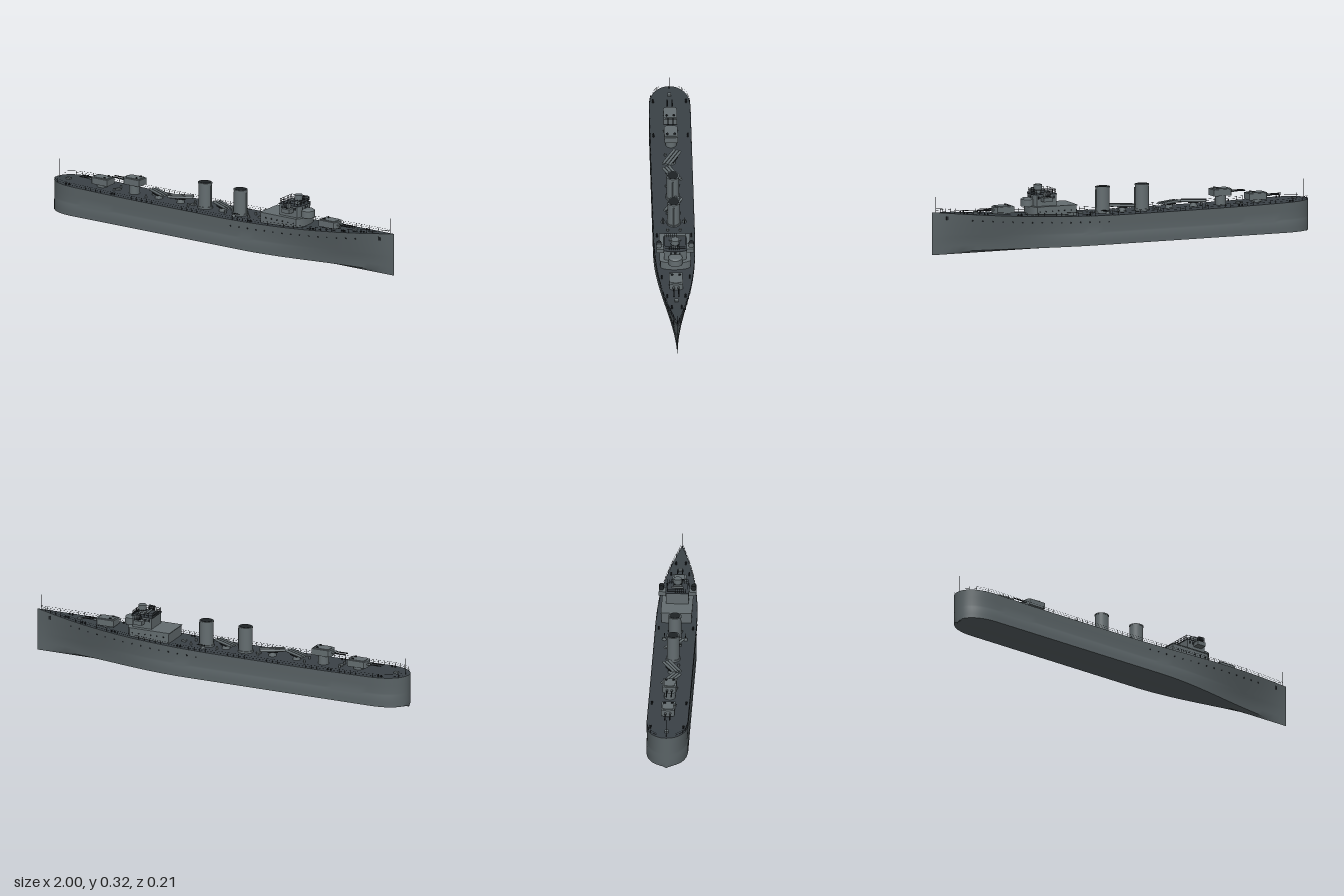
import * as THREE from 'three';
import { mergeGeometries, toCreasedNormals } from 'three/addons/utils/BufferGeometryUtils.js';

const paint = (name, color) => Object.assign(new THREE.MeshStandardMaterial({ color }), { name });
const lerp = THREE.MathUtils.lerp;

// Deck plan, waterline plan and sheer along the length (bow at +x)
const curveAt = (xs, ys, x) => {
  let i = 0;
  while (i < xs.length - 2 && x > xs[i + 1]) i++;
  return lerp(ys[i], ys[i + 1], THREE.MathUtils.clamp((x - xs[i]) / (xs[i + 1] - xs[i]), 0, 1));
};
const sternHalf = (x) => 0.102 * Math.sqrt(Math.max(0, 1 - Math.pow((-0.82 - x) / 0.18, 2.5)));
const deckHalf = (x) => (x < -0.82 ? sternHalf(x)
  : curveAt([0.2, 0.3, 0.4, 0.5, 0.6, 0.7, 0.8, 0.9, 1], [0.102, 0.101, 0.098, 0.092, 0.082, 0.068, 0.049, 0.026, 0], x));
const keelHalf = (x) => (x < -0.82 ? sternHalf(x)
  : x < 0.15 ? 0.102 : 0.051 * (1 + Math.cos((Math.PI * (x - 0.15)) / 0.85)));
const deckY = (x) => 0.155 + (x < -0.3 ? 0.009 * ((x + 0.3) / 0.7) ** 2 : 0.057 * (Math.max(0, x) ** 1.7));

// Skin a list of cross-sections
function loft(rings) {
  const n = rings[0].length, pos = rings.flat(2), idx = [];
  for (let j = 0; j < rings.length - 1; j++) {
    for (let i = 0; i < n - 1; i++) {
      const a = j * n + i, b = a + 1, d = a + n, c = d + 1;
      idx.push(a, b, d, b, c, d);
    }
  }
  const g = new THREE.BufferGeometry();
  g.setAttribute('position', new THREE.Float32BufferAttribute(pos, 3));
  g.setIndex(idx);
  return toCreasedNormals(g, 0.6);
}

// Flat outline in x/z raised upward; front end bowed outward
function house(x0, x1, half, height, bulge) {
  const s = new THREE.Shape();
  s.moveTo(x0, -half);
  s.lineTo(x1, -half);
  s.bezierCurveTo(x1 + bulge, -half * 0.75, x1 + bulge, half * 0.75, x1, half);
  s.lineTo(x0, half);
  const g = new THREE.ExtrudeGeometry(s, { depth: height, bevelEnabled: false, curveSegments: 12 });
  return toCreasedNormals(g.rotateX(-Math.PI / 2), 0.6);
}

export function createModel() {
  const ship = new THREE.Group();
  ship.name = 'warship';
  const hullGrey = paint('hullGrey', 0x5a6366);
  const deckGrey = paint('deckGrey', 0x3a4146);
  const upperGrey = paint('upperGrey', 0x646d70);
  const dark = paint('darkFittings', 0x1e2225);

  const add = (parent, name, geo, mat, x = 0, y = 0, z = 0) => {
    const m = new THREE.Mesh(geo, mat);
    m.name = name;
    m.position.set(x, y, z);
    parent.add(m);
    return m;
  };
  const group = (name, x = 0, y = 0, z = 0) => {
    const g = new THREE.Group();
    g.name = name;
    g.position.set(x, y, z);
    ship.add(g);
    return g;
  };
  const box = (w, h, d) => new THREE.BoxGeometry(w, h, d);
  const cyl = (r, h, r2 = r, n = 20) => new THREE.CylinderGeometry(r2, r, h, n);
  const rodX = (r, l, n = 10) => cyl(r, l, r, n).rotateZ(-Math.PI / 2);

  // Hull: stations packed closely at the rounded stern
  const stations = [];
  for (let i = 0; i < 14; i++) stations.push(-0.82 - 0.18 * Math.cos((i / 14) * Math.PI / 2));
  for (let i = 0; i <= 48; i++) stations.push(-0.82 + (1.82 * i) / 48);
  // [height fraction, blend from waterline to deck plan, fullness]
  const levels = [[1, 1, 1], [0.72, 0.72, 0.985], [0.46, 0.42, 0.968], [0.4, 0.35, 0.975], [0.34, 0.25, 1], [0.15, 0.08, 1], [0, 0, 1]];
  const section = (x) => {
    const side = levels.map(([f, t, k]) => [x, lerp(0.012, deckY(x), f), lerp(keelHalf(x), deckHalf(x), t) * k]);
    return [...side, [x, 0, 0], ...side.slice().reverse().map(([a, y, z]) => [a, y, -z])];
  };
  add(ship, 'hull', loft(stations.map(section)), hullGrey);
  add(ship, 'deck', loft(stations.map((x) => [-1, 0, 1].map((s) => [x, deckY(x), s * deckHalf(x)]))), deckGrey);

  // Railings along both deck edges
  const rails = [];
  for (const s of [1, -1]) {
    for (const h of [0.009, 0.018]) {
      const pts = [];
      for (let i = 0; i <= 60; i++) {
        const x = -0.985 + (1.965 * i) / 60;
        pts.push(new THREE.Vector3(x, deckY(x) + h, s * Math.max(0.001, deckHalf(x) - 0.002)));
      }
      rails.push(new THREE.TubeGeometry(new THREE.CatmullRomCurve3(pts), 120, 0.0005, 4));
    }
    for (let x = -0.97; x < 0.98; x += 0.03) {
      rails.push(cyl(0.0007, 0.018, 0.0007, 4).translate(x, deckY(x) + 0.009, s * (deckHalf(x) - 0.002)));
    }
  }
  add(ship, 'deckRailings', mergeGeometries(rails), dark);

  // Portholes and anchors
  const sideZ = (x, y) => section(x)[0][2] - (section(x)[0][2] - section(x)[1][2]) * (deckY(x) - y) / (deckY(x) - section(x)[1][1]);
  for (const s of [1, -1]) {
    for (let x = 0.1; x < 0.82; x += 0.05) {
      const y = deckY(x) - 0.031;
      add(ship, 'porthole', cyl(0.004, 0.004, 0.004, 10).rotateX(Math.PI / 2), dark, x, y, s * sideZ(x, y));
    }
    const ay = deckY(0.925) - 0.025;
    add(ship, 'anchor', box(0.012, 0.018, 0.006), dark, 0.925, ay, s * sideZ(0.925, ay));
  }

  // Flagstaffs at both ends
  add(ship, 'sternStaff', cyl(0.0014, 0.092, 0.001, 6), dark, -0.983, 0.21);
  add(ship, 'bowStaff', cyl(0.0014, 0.076, 0.001, 6), dark, 0.98, 0.248);

  // Gun turrets
  function turret(name, x, baseY, y, dir) {
    const g = group(name, x, 0, 0);
    add(g, 'barbette', cyl(0.027, y - baseY + 0.002, 0.027), upperGrey, 0, (y + baseY) / 2);
    add(g, 'gunhouse', house(-0.05, 0.04, 0.033, 0.032, 0.015), upperGrey, 0, y, 0);
    add(g, 'gunhouseRoof', house(-0.042, 0.032, 0.027, 0.004, 0.01), upperGrey, 0, y + 0.032, 0);
    for (const z of [-0.012, 0.012]) {
      add(g, 'barrel', rodX(0.003, 0.08), dark, 0.085, y + 0.018, z);
      add(g, 'barrelSleeve', rodX(0.005, 0.02), upperGrey, 0.056, y + 0.018, z);
      add(g, 'hatch', cyl(0.006, 0.005, 0.006, 10), dark, -0.025, y + 0.038, z * 1.5);
    }
    if (dir < 0) g.rotation.y = Math.PI;
  }
  turret('bowTurret', 0.625, 0.178, 0.187, 1);
  turret('raisedAftTurret', -0.54, 0.155, 0.203, -1);
  turret('aftTurret', -0.73, 0.157, 0.172, -1);

  // Funnels
  for (const x of [-0.12, 0.09]) {
    const f = group('funnel', x, 0.155, 0);
    add(f, 'casing', cyl(0.035, 0.126, 0.034, 32), upperGrey, 0, 0.063);
    add(f, 'baseRing', cyl(0.039, 0.01, 0.039, 32), upperGrey, 0, 0.005);
    add(f, 'cap', cyl(0.036, 0.006, 0.036, 32), upperGrey, 0, 0.127);
    add(f, 'opening', cyl(0.03, 0.002, 0.03, 32), dark, 0, 0.1305);
    add(f, 'steamPipe', cyl(0.004, 0.115, 0.004, 8), upperGrey, 0.037, 0.058);
    f.scale.z = 0.9;
  }

  // Triple torpedo tubes, trained off the centreline
  for (const [x, a] of [[-0.395, -0.48], [-0.265, 0.48], [-0.015, -0.48]]) {
    const t = group('torpedoMount', x, 0.155, 0);
    t.rotation.y = a;
    add(t, 'pedestal', cyl(0.02, 0.022, 0.016), upperGrey, 0, 0.011);
    add(t, 'cradle', box(0.05, 0.005, 0.045), dark, 0, 0.023);
    for (const z of [-0.016, 0, 0.016]) add(t, 'tube', rodX(0.0065, 0.125, 12), upperGrey, 0, 0.031, z);
  }

  // Bridge superstructure
  const b = group('bridge');
  add(b, 'deckhouse', house(0.26, 0.47, 0.073, 0.056, 0.03), upperGrey, 0, 0.158);
  add(b, 'deckhouseEaves', house(0.256, 0.472, 0.076, 0.004, 0.03), upperGrey, 0, 0.211);
  add(b, 'conningTower', cyl(0.035, 0.034, 0.034, 28), upperGrey, 0.49, 0.23);
  add(b, 'conningRoof', cyl(0.034, 0.006, 0.025, 28), upperGrey, 0.49, 0.25);
  add(b, 'wheelhouse', house(0.36, 0.463, 0.055, 0.055, 0.016), upperGrey, 0, 0.214);
  add(b, 'wheelhouseRoof', house(0.357, 0.466, 0.058, 0.004, 0.018), deckGrey, 0, 0.269);
  for (let i = -2; i <= 2; i++) {
    add(b, 'frontWindow', box(0.006, 0.013, 0.014), dark, 0.473 - 0.0018 * i * i, 0.257, i * 0.0185);
  }
  for (const s of [1, -1]) {
    for (let i = 0; i < 5; i++) {
      add(b, 'sideWindow', box(0.013, 0.013, 0.002), dark, 0.375 + i * 0.019, 0.257, s * 0.0555);
    }
    for (let i = 0; i < 6; i++) {
      add(b, 'housePorthole', cyl(0.004, 0.003, 0.004, 10).rotateX(Math.PI / 2), dark, 0.29 + i * 0.033, 0.19, s * 0.073);
    }
    // Bridge wing with searchlight
    add(b, 'wing', box(0.045, 0.021, 0.037), upperGrey, 0.42, 0.25, s * 0.073);
    add(b, 'lightStand', cyl(0.004, 0.01, 0.004, 8), dark, 0.42, 0.264, s * 0.079);
    add(b, 'searchlight', rodX(0.0125, 0.024, 18), dark, 0.42, 0.276, s * 0.079);
    add(b, 'searchlightRim', rodX(0.0135, 0.005, 18), upperGrey, 0.433, 0.276, s * 0.079);
  }
  add(b, 'director', cyl(0.02, 0.044, 0.02, 24), upperGrey, 0.435, 0.294);
  add(b, 'directorBand', cyl(0.0215, 0.005, 0.0215, 24), dark, 0.435, 0.29);
  add(b, 'rangefinder', rodX(0.005, 0.06).rotateY(Math.PI / 2), upperGrey, 0.4, 0.285);
  add(b, 'signalMast', cyl(0.002, 0.04, 0.0015, 6), dark, 0.465, 0.277);
  // Railing round the wheelhouse roof
  const topRail = [];
  for (const h of [0.283, 0.294]) {
    for (const s of [1, -1]) topRail.push(box(0.105, 0.0015, 0.0015).translate(0.412, h, s * 0.05));
    for (const x of [0.36, 0.465]) topRail.push(box(0.0015, 0.0015, 0.1).translate(x, h, 0));
  }
  for (let i = 0; i <= 5; i++) {
    for (const s of [1, -1]) {
      topRail.push(box(0.0015, 0.022, 0.0015).translate(0.36 + i * 0.021, 0.284, s * 0.05));
      for (const x of [0.36, 0.465]) topRail.push(box(0.0015, 0.022, 0.0015).translate(x, 0.284, s * i * 0.01));
    }
  }
  add(b, 'bridgeRailing', mergeGeometries(topRail), dark);

  // Light guns, vents, bollards and hatches on deck
  for (const s of [1, -1]) {
    const g = group('lightGun', 0.085, 0.155, s * 0.052);
    add(g, 'mount', cyl(0.011, 0.014, 0.007, 12), upperGrey, 0, 0.007);
    add(g, 'barrel', rodX(0.002, 0.045, 6), dark, 0.012, 0.018);
    for (const x of [-0.88, -0.61, 0.2, 0.56, 0.73, 0.83]) {
      const z = s * (deckHalf(x) - 0.018);
      for (const d of [-0.008, 0.008]) add(ship, 'bollard', cyl(0.004, 0.009, 0.004, 8), dark, x + d, deckY(x) + 0.004, z);
    }
    for (const x of [-0.64, -0.45, -0.2, 0.02, 0.16]) {
      add(ship, 'vent', cyl(0.005, 0.014, 0.006, 10), upperGrey, x, deckY(x) + 0.007, s * 0.03);
    }
  }
  for (const x of [-0.93, -0.635, -0.19, 0.21, 0.77]) {
    add(ship, 'hatch', box(0.022, 0.008, 0.018), upperGrey, x, deckY(x) + 0.004, 0);
  }
  return ship;
}
